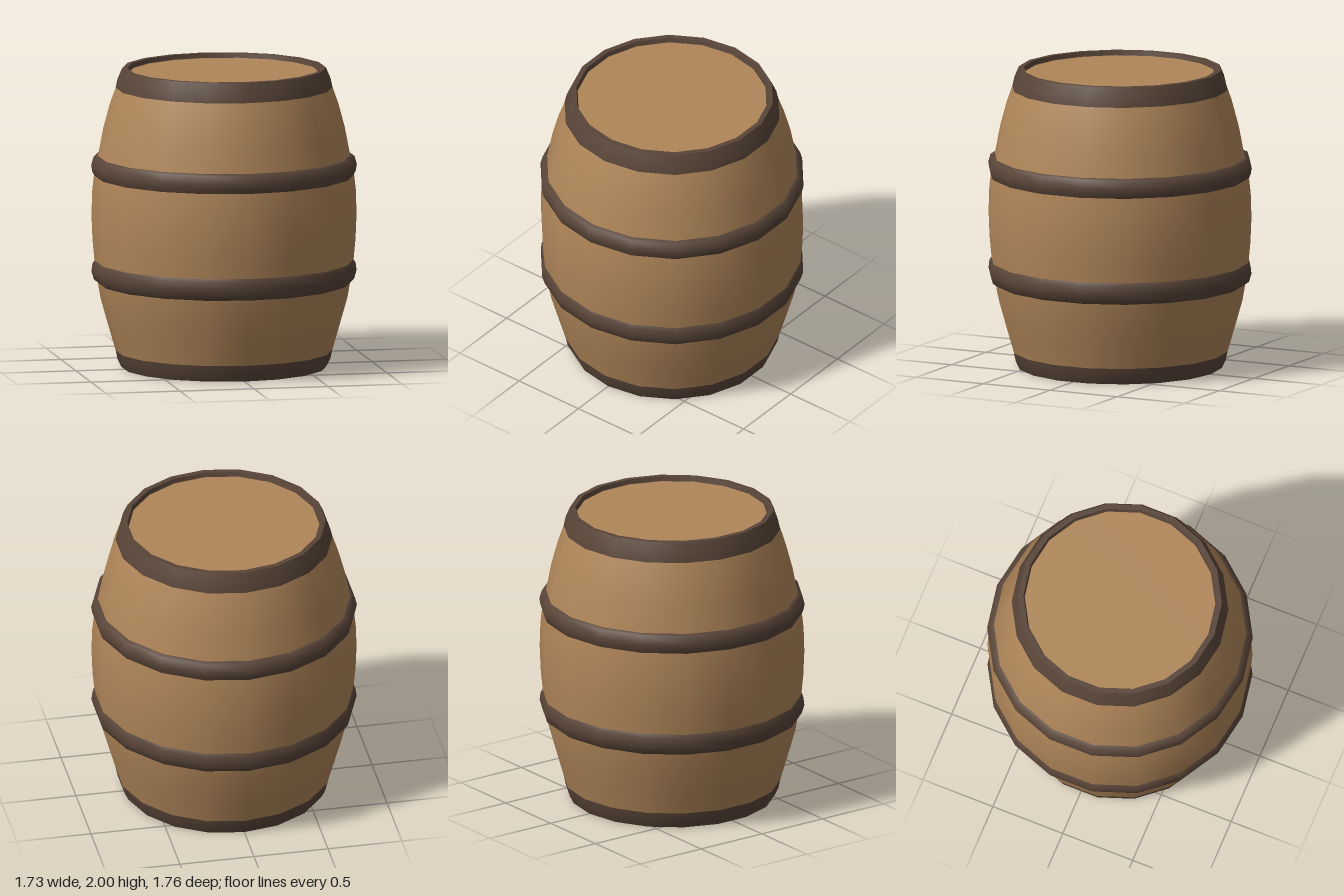
import * as THREE from 'three';

const SIDES = 18;

export function createModel() {
  const wood = new THREE.MeshStandardMaterial({ color: 0xb08659 });
  wood.name = 'warm wood';
  const iron = new THREE.MeshStandardMaterial({ color: 0x594538 });
  iron.name = 'dark hoop';

  const barrel = new THREE.Group();
  barrel.name = 'barrel';

  // Revolve a profile of [radius, height] pairs; listed bottom to top it faces outward
  function ring(name, material, profile) {
    const points = profile.map(([r, y]) => new THREE.Vector2(r, y));
    const mesh = new THREE.Mesh(new THREE.LatheGeometry(points, SIDES), material);
    mesh.name = name;
    barrel.add(mesh);
  }

  // Bulging staves between the hoops
  ring('lowerStaves', wood, [[0.718, 0.11], [0.77, 0.29], [0.818, 0.46], [0.84, 0.59]]);
  ring('middleStaves', wood, [[0.856, 0.69], [0.871, 0.85], [0.878, 1.02], [0.873, 1.18], [0.86, 1.3]]);
  ring('upperStaves', wood, [[0.838, 1.4], [0.8, 1.6], [0.757, 1.76], [0.718, 1.87]]);

  // Raised hoops around the belly
  ring('lowerHoop', iron, [[0.835, 0.565], [0.862, 0.585], [0.878, 0.64], [0.872, 0.69], [0.857, 0.715]]);
  ring('upperHoop', iron, [[0.86, 1.28], [0.873, 1.31], [0.88, 1.35], [0.865, 1.405], [0.832, 1.415]]);

  // End hoops, flush with the staves
  ring('bottomHoop', iron, [[0.68, 0], [0.705, 0.05], [0.718, 0.11]]);
  ring('topHoop', iron, [[0.718, 1.87], [0.705, 1.93], [0.675, 2]]);

  // Flat rims with shallow inner lips
  ring('bottomRim', iron, [[0.64, 0], [0.68, 0]]);
  ring('topRim', iron, [[0.675, 2], [0.64, 2]]);
  ring('bottomLip', iron, [[0.632, 0.03], [0.64, 0]]);
  ring('topLip', iron, [[0.64, 2], [0.632, 1.97]]);

  // Slightly recessed heads, their edges smoothed into the lips
  ring('topHead', wood, [[0.632, 1.97], [0.63, 1.965], [0, 1.965]]);
  ring('bottomHead', wood, [[0, 0.035], [0.63, 0.035], [0.632, 0.03]]);

  return barrel;
}
